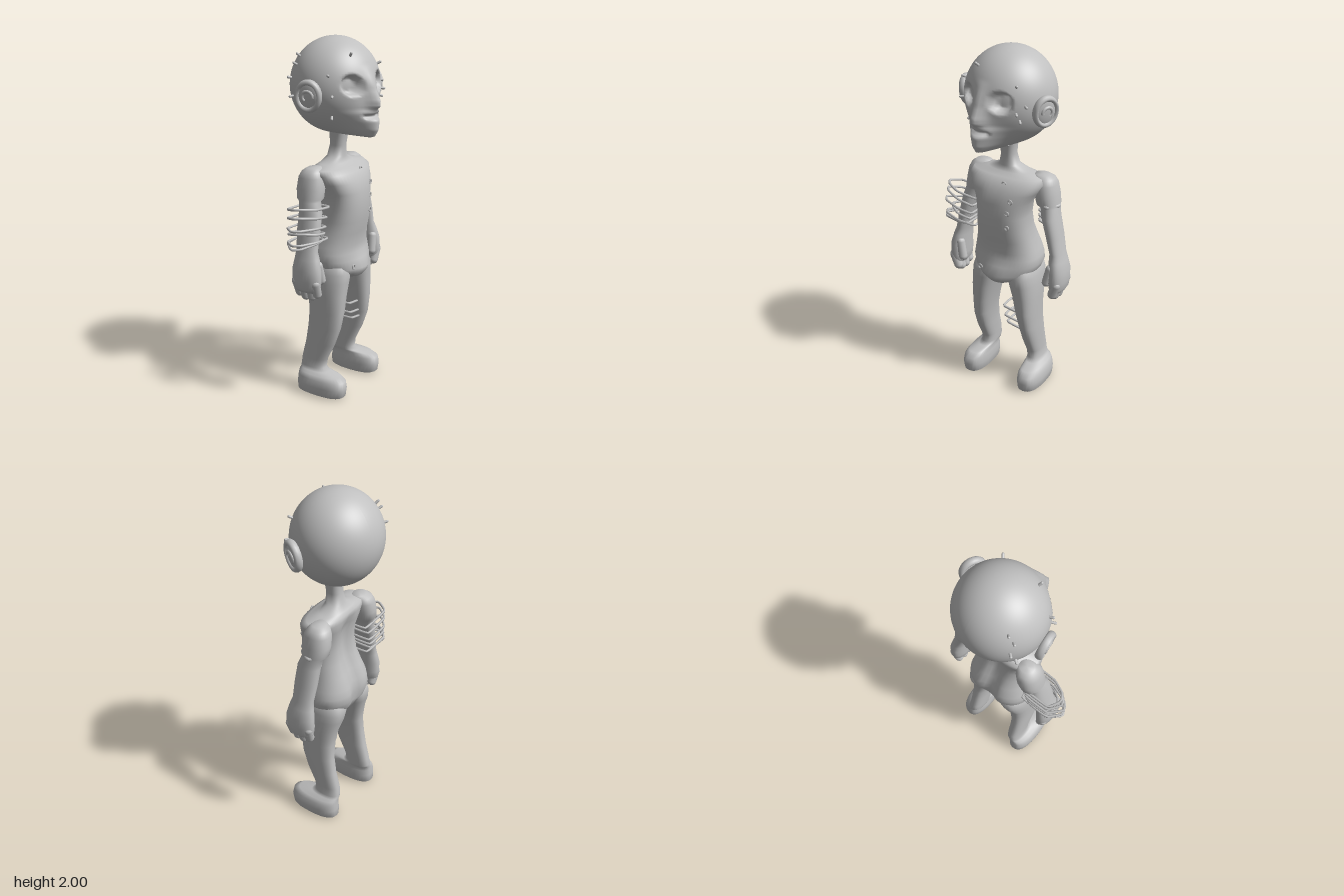
import * as THREE from 'three';

const MID = -0.0375; // mirror plane of the figure (it faces +x, its sides are along z)
const clay = new THREE.MeshStandardMaterial({ color: 0xc0c0c0 });
clay.name = 'clay grey';

const mir = (s, z) => MID + s * (z - MID);
const bell = (v, w) => Math.exp(-(v * v) / (w * w));
const smooth = THREE.MathUtils.smoothstep;

function lerpKeys(keys, t) {
  if (t <= keys[0][0]) return keys[0][1];
  for (let i = 1; i < keys.length; i++) {
    const [a, va] = keys[i - 1], [b, vb] = keys[i];
    if (t <= b) return va + (vb - va) * (t - a) / (b - a);
  }
  return keys[keys.length - 1][1];
}

function add(parent, name, geometry) {
  const mesh = new THREE.Mesh(geometry, clay);
  mesh.name = name;
  parent.add(mesh);
  return mesh;
}

// Skin over horizontal rings given as [y, xBack, xFront, zMin, zMax]; power 2 is an ellipse
function loft(keys, power = 2, deform = null, segs = 32) {
  const pos = [], index = [], v = new THREE.Vector3();
  const soft = c => Math.sign(c) * Math.pow(Math.abs(c), 2 / power);
  for (const [y, x0, x1, z0, z1] of keys) {
    for (let i = 0; i < segs; i++) {
      const a = i / segs * Math.PI * 2;
      v.set((x0 + x1) / 2 + (x1 - x0) / 2 * soft(Math.cos(a)), y,
        (z0 + z1) / 2 + (z1 - z0) / 2 * soft(Math.sin(a)));
      if (deform) deform(v, a);
      pos.push(v.x, v.y, v.z);
    }
  }
  const last = keys.length - 1;
  for (let j = 0; j < last; j++) {
    for (let i = 0; i < segs; i++) {
      const a = j * segs + i, b = j * segs + (i + 1) % segs;
      index.push(a, a + segs, b, b, a + segs, b + segs);
    }
  }
  for (const j of [0, last]) {
    const [y, x0, x1, z0, z1] = keys[j], c = pos.length / 3;
    pos.push((x0 + x1) / 2, y, (z0 + z1) / 2);
    for (let i = 0; i < segs; i++) {
      const a = j * segs + i, b = j * segs + (i + 1) % segs;
      if (j === 0) index.push(c, a, b); else index.push(c, b, a);
    }
  }
  const g = new THREE.BufferGeometry();
  g.setAttribute('position', new THREE.Float32BufferAttribute(pos, 3));
  g.setIndex(index);
  g.computeVertexNormals();
  return g;
}

const mirrorKeys = (s, keys) => keys.map(([y, a, b, z0, z1]) =>
  s > 0 ? [y, a, b, z0, z1] : [y, a, b, mir(s, z1), mir(s, z0)]);

// Rounded rod between two points
function rod(parent, name, a, b, r) {
  const A = new THREE.Vector3(...a), B = new THREE.Vector3(...b), d = B.clone().sub(A);
  const mesh = add(parent, name, new THREE.CapsuleGeometry(r, d.length(), 5, 12));
  mesh.position.copy(A).add(B).multiplyScalar(0.5);
  mesh.quaternion.setFromUnitVectors(new THREE.Vector3(0, 1, 0), d.normalize());
}

function wire(parent, name, points, closed, r = 0.007) {
  const curve = new THREE.CatmullRomCurve3(points.map(p => new THREE.Vector3(...p)), closed, 'catmullrom', 0.15);
  add(parent, name, new THREE.TubeGeometry(curve, 36, r, 6, closed));
}

// Skull with muzzle, nose, mouth and hollow eyes, shaped from a ball
function makeHead() {
  const head = new THREE.Group();
  head.name = 'head';
  head.position.set(-0.035, 1.745, -0.035);
  head.rotation.y = -0.16;
  const face = [[-0.255, 0.24], [-0.245, 0.27], [-0.21, 0.288], [-0.165, 0.29],
    [-0.12, 0.28], [-0.1, 0.258], [-0.05, 0.247], [0, 0.24]];
  const nose = [[-0.115, 0], [-0.088, 0.046], [-0.06, 0.055], [0, 0.035], [0.08, 0.01], [0.12, 0]];
  const g = new THREE.SphereGeometry(1, 96, 80), p = g.attributes.position;
  for (let i = 0; i < p.count; i++) {
    const ux = p.getX(i), uy = p.getY(i), uz = p.getZ(i);
    const y = uy * 0.255, z = uz * 0.245, ring = Math.sqrt(Math.max(0, 1 - uy * uy));
    let x = ux * 0.24;
    const front = ring > 1e-4 ? Math.pow((1 + ux / ring) / 2, 2) : 0.25;
    if (y < 0) x += Math.max(0, lerpKeys(face, y) - 0.24 * ring) * front * bell(z, 0.1);
    if (ux > 0) {
      x += lerpKeys(nose, y) * bell(z, 0.036);
      x -= 0.03 * bell(y + 0.137, 0.011) * (1 - smooth(Math.abs(z), 0.045, 0.065));
      const d = Math.hypot(y - 0.025, Math.abs(z) - 0.105);
      x -= 0.045 * (1 - smooth(d, 0.035, 0.06));
    }
    p.setXYZ(i, x, y, z);
  }
  g.computeVertexNormals();
  add(head, 'skull', g);

  // Ears: thin dish, outer rim and inner fold
  for (const s of [1, -1]) {
    const ear = new THREE.Group();
    ear.name = s > 0 ? 'rightEar' : 'leftEar';
    ear.position.set(0.045, -0.025, s * 0.262);
    ear.rotation.set(s * 0.12, s * 0.3, -0.15);
    const dish = add(ear, 'earDish', new THREE.SphereGeometry(1, 24, 12));
    dish.scale.set(0.062, 0.076, 0.018);
    const rim = add(ear, 'earRim', new THREE.TorusGeometry(0.064, 0.014, 10, 32));
    rim.scale.set(0.95, 1.12, 1.5);
    const fold = add(ear, 'earFold', new THREE.TorusGeometry(0.028, 0.009, 8, 20, 4.2));
    fold.position.z = s * 0.015;
    head.add(ear);
  }
  return head;
}

// Small pegs stuck in the head
function addPegs(parent) {
  const c = new THREE.Vector3(-0.035, 1.745, -0.035);
  const peg = (x, y, z) => {
    const n = new THREE.Vector3(x, y, z).sub(c).normalize();
    const from = new THREE.Vector3(x, y, z).addScaledVector(n, -0.02);
    const to = new THREE.Vector3(x, y, z).addScaledVector(n, 0.02);
    rod(parent, 'headPeg', from.toArray(), to.toArray(), 0.007);
  };
  const onFace = [[1.915, 0.065], [1.82, 0.18], [1.72, 0.18], [1.61, 0.15], [1.85, -0.17],
    [1.755, -0.215], [1.72, -0.18], [1.68, -0.19], [1.53, -0.09]];
  for (const [y, z] of onFace) {
    const q = 1 - ((y - c.y) / 0.255) ** 2 - ((z - c.z) / 0.245) ** 2;
    peg(c.x + 0.24 * Math.sqrt(Math.max(0, q)), y, z);
  }
  for (const [x, y] of [[-0.16, 1.9], [-0.16, 1.86], [-0.19, 1.79], [-0.17, 1.7]]) {
    const q = 1 - ((y - c.y) / 0.255) ** 2 - ((x - c.x) / 0.24) ** 2;
    peg(x, y, c.z + 0.245 * Math.sqrt(Math.max(0, q)));
  }
}

export function createModel() {
  const model = new THREE.Group();
  model.name = 'figure';
  model.add(makeHead());
  addPegs(model);

  // Torso and neck, with a groove down the spine and a rounded groin
  const torso = [[0.68, -0.05, 0.09, -0.075, 0], [0.695, -0.1, 0.125, -0.12, 0.045], [0.72, -0.145, 0.135, -0.18, 0.105],
    [0.75, -0.165, 0.137, -0.22, 0.145], [0.8, -0.18, 0.13, -0.237, 0.162], [0.84, -0.178, 0.124, -0.232, 0.157],
    [0.88, -0.17, 0.12, -0.22, 0.15], [0.95, -0.145, 0.13, -0.2, 0.13],
    [1.02, -0.115, 0.145, -0.19, 0.12], [1.1, -0.1, 0.15, -0.185, 0.115], [1.18, -0.1, 0.147, -0.195, 0.125],
    [1.24, -0.11, 0.132, -0.23, 0.16], [1.29, -0.115, 0.105, -0.26, 0.185], [1.315, -0.11, 0.07, -0.245, 0.175],
    [1.33, -0.095, 0.035, -0.16, 0.09], [1.36, -0.075, 0.025, -0.09, 0.02], [1.42, -0.062, 0.025, -0.075, 0.005],
    [1.49, -0.06, 0.035, -0.085, 0.015], [1.55, -0.07, 0.05, -0.095, 0.025]];
  add(model, 'torso', loft(torso, 2.4, (v, a) => {
    if (Math.cos(a) < 0) {
      const h = smooth(v.y, 0.7, 0.78) * (1 - smooth(v.y, 1.2, 1.32));
      v.x += 0.035 * h * bell(v.z - MID, 0.045);
    } else {
      v.x += 0.028 * bell(v.y - 0.755, 0.05) * bell(v.z - MID, 0.08);
    }
  }, 48));

  // Rims of small holes in the chest
  for (const [x, y, z] of [[0.1, 1.265, 0.015], [0.1, 1.29, -0.075], [0.13, 1.21, -0.13], [0.138, 1.14, -0.115],
    [0.138, 1.055, -0.115], [0.138, 0.77, 0.055]]) {
    const rim = add(model, 'holeRim', new THREE.TorusGeometry(0.012, 0.004, 6, 14));
    rim.position.set(x, y, z);
    rim.rotation.y = Math.PI / 2;
  }

  const leg = [[0, -0.145, 0.115, 0.095, 0.2], [0.012, -0.165, 0.135, 0.08, 0.217], [0.06, -0.165, 0.142, 0.076, 0.222],
    [0.1, -0.162, 0.135, 0.08, 0.215], [0.122, -0.16, 0.1, 0.085, 0.2], [0.132, -0.16, 0.02, 0.08, 0.175],
    [0.15, -0.16, -0.005, 0.078, 0.165], [0.2, -0.155, 0.002, 0.076, 0.16], [0.3, -0.13, 0.05, 0.072, 0.163],
    [0.4, -0.115, 0.085, 0.066, 0.163], [0.5, -0.11, 0.1, 0.045, 0.163], [0.6, -0.125, 0.106, 0.025, 0.166],
    [0.68, -0.15, 0.112, 0, 0.163], [0.73, -0.158, 0.115, -0.01, 0.158], [0.77, -0.15, 0.1, -0.005, 0.148],
    [0.82, -0.12, 0.07, 0.01, 0.12]];
  const arm = [[0.675, -0.08, 0.045, 0.255, 0.31], [0.695, -0.1, 0.06, 0.24, 0.325], [0.74, -0.105, 0.068, 0.235, 0.33],
    [0.8, -0.105, 0.065, 0.235, 0.33], [0.86, -0.095, 0.05, 0.23, 0.315], [0.9, -0.09, 0.035, 0.228, 0.302],
    [1.0, -0.1, 0.035, 0.2, 0.283], [1.1, -0.102, 0.03, 0.168, 0.262], [1.155, -0.11, 0.01, 0.148, 0.25],
    [1.17, -0.13, 0.02, 0.125, 0.248], [1.22, -0.135, 0.02, 0.11, 0.242], [1.28, -0.13, 0.015, 0.1, 0.23],
    [1.31, -0.115, 0, 0.1, 0.215], [1.328, -0.09, -0.02, 0.105, 0.19]];
  for (const s of [1, -1]) {
    const side = s > 0 ? 'right' : 'left';
    add(model, side + 'LegAndFoot', loft(mirrorKeys(s, leg), 2.5));
    add(model, side + 'Arm', loft(mirrorKeys(s, arm), 2.2));
    [-0.078, -0.035, 0.008, 0.042].forEach((x, i) => rod(model, side + 'Finger',
      [x, 0.73, mir(s, 0.295)], [x * 0.9, [0.66, 0.644, 0.648, 0.665][i], mir(s, 0.272)], 0.026));
    rod(model, side + 'Thumb', [0.035, 0.82, mir(s, 0.255)], [0.042, 0.735, mir(s, 0.236)], 0.025);
  }

  // Wire loops around the right arm, reaching outward
  for (const [yIn, yOut, zIn, zOut] of [[1.12, 1.15, 0.14, 0.37], [1.07, 1.105, 0.17, 0.38], [1.02, 1.04, 0.18, 0.395],
    [0.985, 1.01, 0.19, 0.35], [0.95, 0.96, 0.16, 0.39], [0.955, 0.94, 0.2, 0.395]]) {
    const yMid = (yIn + yOut) / 2;
    wire(model, 'rightArmWire', [[-0.1, yIn, zIn], [-0.104, yMid, 0.33], [-0.04, yOut, zOut],
      [0, yOut, zOut - 0.025], [0.035, yMid, 0.27], [0.035, yIn, zIn]], true);
  }

  // Wires on the left arm
  for (const y of [1.13, 1.1, 1.07]) {
    wire(model, 'leftArmWire', [[-0.07, y - 0.01, -0.29], [-0.07, y + 0.01, -0.235], [0, y + 0.01, -0.235], [0, y - 0.01, -0.29]], false);
  }
  wire(model, 'leftArmBand', [[-0.115, 1.17, -0.27], [-0.055, 1.165, -0.325], [0.015, 1.17, -0.28], [-0.05, 1.19, -0.21]], true, 0.01);

  // Staples on the inside of the left leg
  for (const [y, reach] of [[0.485, -0.045], [0.425, -0.055], [0.385, -0.07]]) {
    wire(model, 'legStaple', [[-0.04, y - 0.01, -0.17], [-0.04, y + 0.01, reach], [0.05, y + 0.01, reach], [0.05, y - 0.01, -0.17]], false);
  }
  return model;
}
